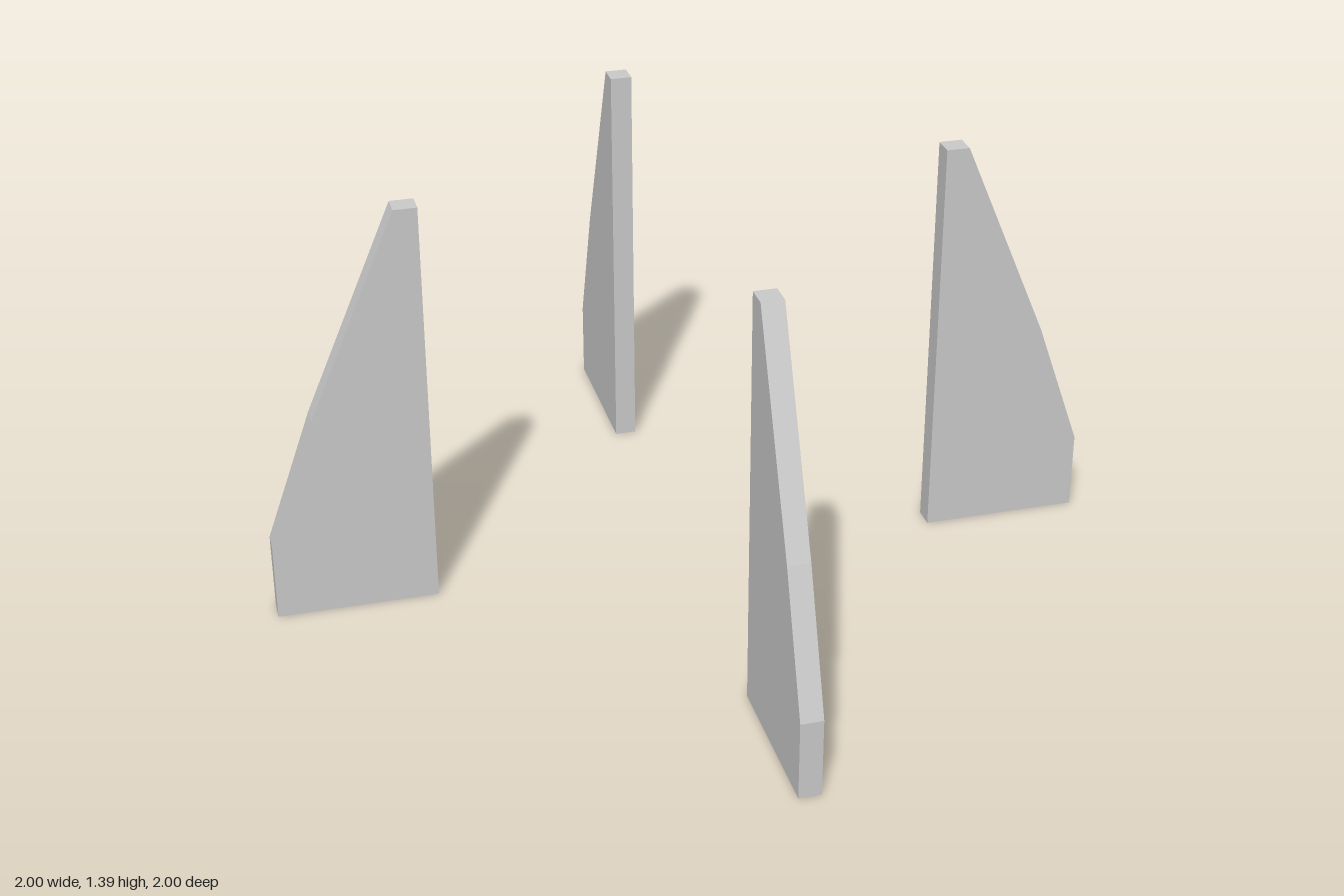
import * as THREE from 'three';

export function createModel() {
  const group = new THREE.Group();
  group.name = 'fins';
  const material = new THREE.MeshStandardMaterial({ color: 0xcccccc, flatShading: true });

  // Fin outline: distance from the central axis, height
  const thickness = 0.072;
  const outline = [
    [0.852, 0], [1.378, 0], [1.378, 0.262], [1.222, 0.7], [0.928, 1.388], [0.852, 1.388],
  ];
  const shape = new THREE.Shape(outline.map(([r, y]) => new THREE.Vector2(r, y)));
  const geometry = new THREE.ExtrudeGeometry(shape, { depth: thickness, bevelEnabled: false });
  geometry.translate(0, 0, -thickness / 2);

  // Four fins on the diagonals
  const names = ['backLeftFin', 'backRightFin', 'frontRightFin', 'frontLeftFin'];
  names.forEach((name, i) => {
    const fin = new THREE.Mesh(geometry, material);
    fin.name = name;
    fin.rotation.y = Math.PI / 4 + i * Math.PI / 2;
    group.add(fin);
  });
  return group;
}
